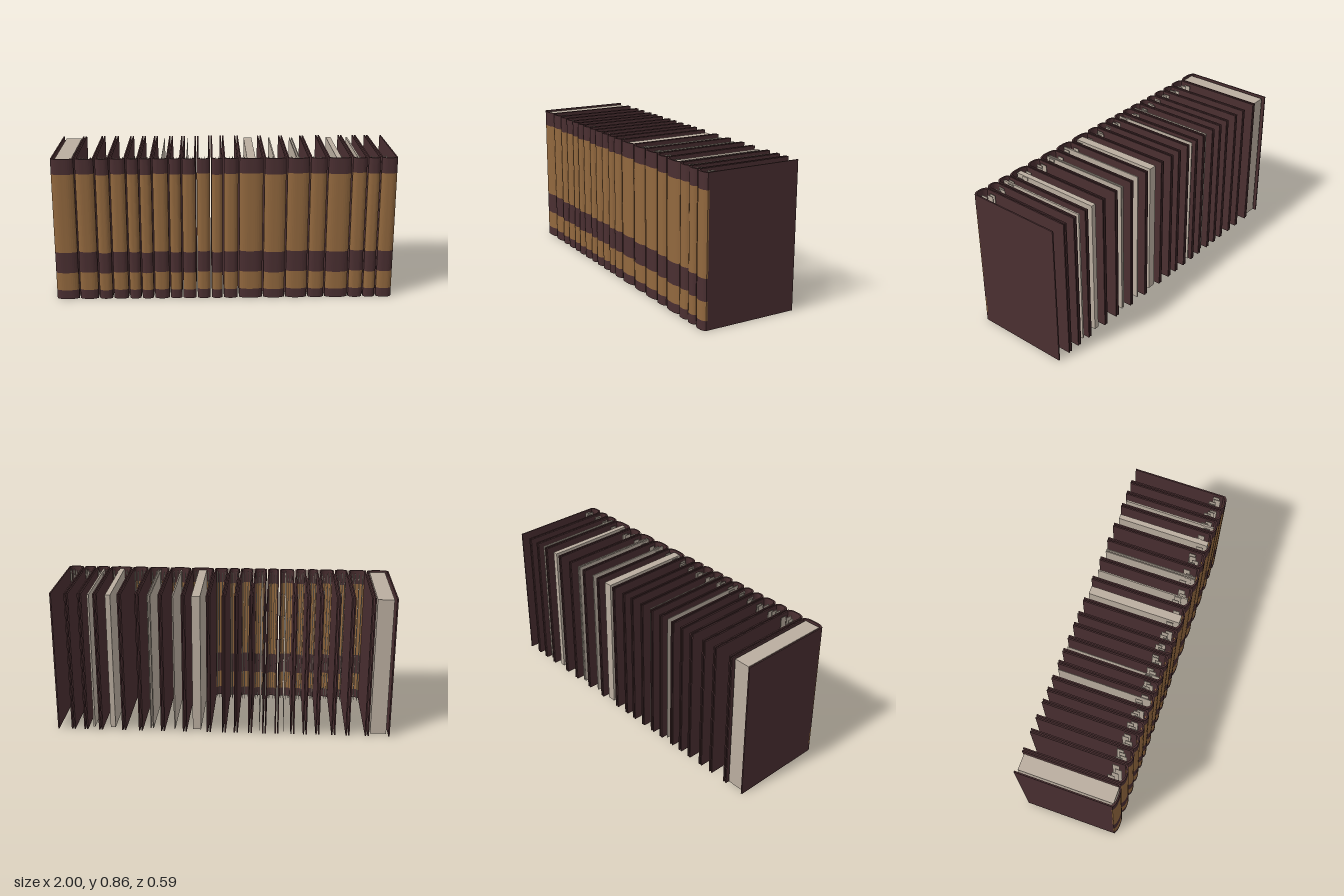
import * as THREE from 'three';

const HEIGHT = 0.86, BACK = -0.293, HINGE = 0.268, FRONT = 0.294, BOARD = 0.008;

// Edges between neighbouring books along the row
const EDGES = [-1, -0.865, -0.75, -0.665, -0.57, -0.495, -0.42, -0.325, -0.25, -0.165, -0.08,
  -0.008, 0.083, 0.228, 0.361, 0.495, 0.597, 0.738, 0.828, 0.905, 1];

// Page leaves that run the full depth: [x centre, thickness]
const LEAVES = [[-0.932, 0.095], [0.155, 0.05], [0.665, 0.03], [0.42, 0.006], [0.434, 0.006],
  [0.29, 0.008], [0.78, 0.01], [-0.365, 0.003], [-0.22, 0.003]];

export function createModel() {
  const leather = new THREE.MeshStandardMaterial({ color: 0x4a2f31 });
  leather.name = 'dark leather';
  const gold = new THREE.MeshStandardMaterial({ color: 0x92683e });
  gold.name = 'dull gold';
  const paper = new THREE.MeshStandardMaterial({ color: 0xbbaea0 });
  paper.name = 'aged paper';

  const row = new THREE.Group();
  row.name = 'bookRow';

  const box = (name, parent, material, w, h, d, x, y, z) => {
    const mesh = new THREE.Mesh(new THREE.BoxGeometry(w, h, d), material);
    mesh.name = name;
    mesh.position.set(x, y, z);
    parent.add(mesh);
  };

  // Curved spine shell, drawn in plan with shape y = -z
  const spineShape = (width) => {
    const arc = (half, back, front) => Array.from({ length: 13 }, (_, i) => {
      const u = i / 6 - 1;
      return new THREE.Vector2(u * half, -(back + (front - back) * (1 - Math.abs(u) ** 3)));
    });
    const outer = arc(width / 2, 0.277, FRONT);
    const inner = arc(width / 2 - BOARD, HINGE, FRONT - 0.009).reverse();
    return new THREE.Shape([
      new THREE.Vector2(-width / 2, -HINGE), ...outer,
      new THREE.Vector2(width / 2, -HINGE), ...inner,
    ]);
  };

  for (let i = 0; i < EDGES.length - 1; i++) {
    const left = EDGES[i] + (i ? 0.004 : 0);
    const right = EDGES[i + 1] - (i < EDGES.length - 2 ? 0.004 : 0);
    const width = right - left;
    const book = new THREE.Group();
    book.name = 'book';
    book.position.x = (left + right) / 2;
    row.add(book);

    // Two cover boards
    for (const side of [-1, 1]) {
      box('coverBoard', book, leather, BOARD, HEIGHT, HINGE + 0.004 - BACK,
        side * (width - BOARD) / 2, HEIGHT / 2, (HINGE + 0.004 + BACK) / 2);
    }

    // Spine split into leather and gold bands
    const wobble = 0.004 * Math.sin(i * 2.3);
    const stops = [0, 0.056 + wobble / 2, 0.165 + wobble, 0.293 + wobble, 0.768 + wobble, HEIGHT];
    const shape = spineShape(width);
    for (let b = 0; b < 5; b++) {
      const geometry = new THREE.ExtrudeGeometry(shape,
        { depth: stops[b + 1] - stops[b], bevelEnabled: false });
      geometry.rotateX(-Math.PI / 2);
      const band = new THREE.Mesh(geometry, b % 2 ? gold : leather);
      band.name = b % 2 ? 'goldSpineBand' : 'leatherSpineBand';
      band.position.y = stops[b];
      book.add(band);
    }

    // Narrow leaf stubs bound in next to the spine
    if (i > 0) {
      for (const u of [-0.28, -0.1, 0.12, 0.3]) {
        box('leafStub', book, paper, 0.003, HEIGHT - 0.024, 0.04,
          u * width, HEIGHT / 2, 0.225 + 0.015 * Math.sin(i + u * 9));
      }
    }
  }

  // Page blocks and loose full leaves
  for (const [x, thickness] of LEAVES) {
    box('pages', row, paper, thickness, HEIGHT - 0.02, 0.555, x, HEIGHT / 2, -0.001);
  }
  return row;
}
